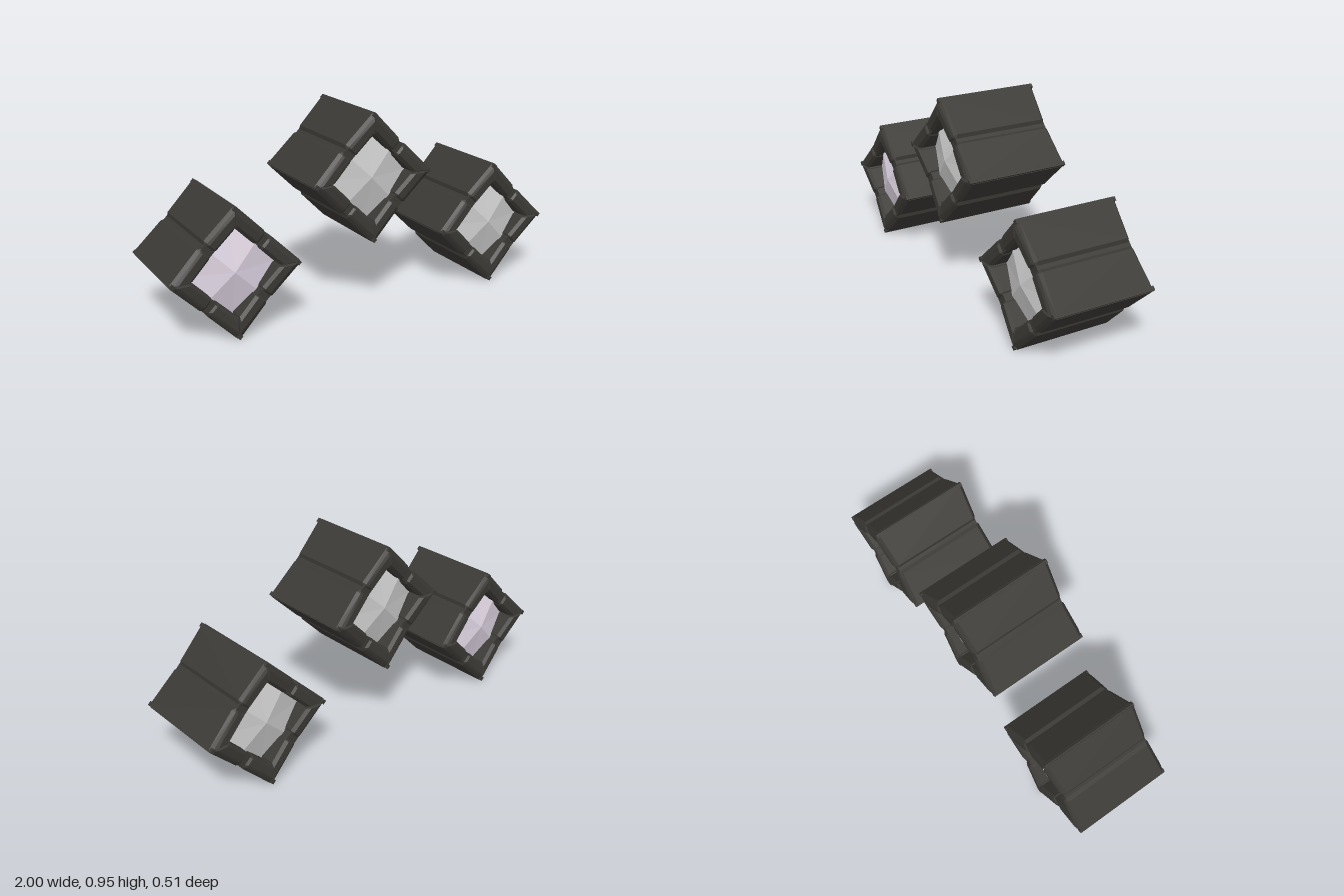
import * as THREE from 'three';
import { ConvexGeometry } from 'three/addons/geometries/ConvexGeometry.js';

const OUTER = 0.222; // centre to outer face of a frame side
const INNER = 0.148; // centre to inner face of a frame side
const BEVEL = 0.014;

// End faces dip towards the middle of each frame side
const endZ = (u) => 0.241 + 0.068 * Math.min(u, 0.215);

// Bevelled, mitred half of one frame side
function blockGeometry(side) {
  const pts = [];
  const add = (u, v, inset) => {
    for (const s of [-1, 1]) pts.push(new THREE.Vector3(side * u, v, s * (endZ(u) - inset)));
  };
  const start = 0.024;
  // outer and inner faces
  add(start, OUTER, 0.02);
  add(OUTER - 0.012, OUTER, 0.02);
  add(start, INNER, BEVEL);
  add(INNER - 0.009, INNER, BEVEL);
  // raised front and back faces
  for (const v of [0.195, INNER + BEVEL]) {
    add(start, v, 0);
    add(v - 0.009, v, 0);
  }
  // shoulder below the outer face, mitre, and the bevelled end at the middle groove
  for (const v of [OUTER - BEVEL, INNER + BEVEL]) {
    add(start, v, 0.006);
    add(v - 0.003, v, 0.008);
    add(0.008, v, BEVEL);
  }
  return new ConvexGeometry(pts);
}

// Square ring that shows at the bottom of the grooves
function coreGeometry() {
  const square = (a, P) => new P([[-a, -a], [a, -a], [a, a], [-a, a]].map(([x, y]) => new THREE.Vector2(x, y)));
  const shape = square(OUTER - 0.013, THREE.Shape);
  shape.holes.push(square(INNER + 0.005, THREE.Path));
  const geo = new THREE.ExtrudeGeometry(shape, { depth: 0.466, bevelEnabled: false });
  return geo.translate(0, 0, -0.233);
}

// Faceted pillow: eight triangles around a raised centre
function paneGeometry() {
  const geo = new THREE.CircleGeometry(0.217, 8);
  const p = geo.attributes.position;
  p.setZ(0, 0.22);
  for (let i = 1; i < p.count; i++) {
    const corner = i % 2 === 1;
    const k = corner ? 1 : Math.SQRT1_2;
    p.setXYZ(i, p.getX(i) * k, p.getY(i) * k, corner ? 0.16 : 0.193);
  }
  const flat = geo.toNonIndexed();
  flat.computeVertexNormals();
  return flat;
}

export function createModel() {
  const model = new THREE.Group();
  const dark = new THREE.MeshStandardMaterial({ color: 0x3b3935, flatShading: true });
  const grey = new THREE.MeshStandardMaterial({ color: 0xcccccc, flatShading: true });
  const mauve = new THREE.MeshStandardMaterial({ color: 0xe0d6e4, flatShading: true });
  const blocks = [blockGeometry(1), blockGeometry(-1)];
  const core = coreGeometry();
  const post = new THREE.BoxGeometry(0.02, 0.02, 0.498).translate(0.209, 0.209, 0);
  const pane = paneGeometry();

  const addMesh = (parent, name, geo, mat) => {
    const mesh = new THREE.Mesh(geo, mat);
    mesh.name = name;
    parent.add(mesh);
    return mesh;
  };

  function lamp(name, x, y, paneMaterial) {
    const group = new THREE.Group();
    group.name = name;
    group.position.set(x, y, 0);

    // frame, standing on one corner
    const frame = new THREE.Group();
    frame.name = 'frame';
    frame.rotation.z = Math.PI / 4;
    group.add(frame);
    addMesh(frame, 'frameCore', core, dark);
    for (let i = 0; i < 4; i++) {
      const turn = i * Math.PI / 2;
      for (const geo of blocks) addMesh(frame, 'frameBlock', geo, dark).rotation.z = turn;
      addMesh(frame, 'cornerPost', post, dark).rotation.z = turn;
    }

    // light panes on both ends
    addMesh(group, 'frontPane', pane, paneMaterial);
    addMesh(group, 'backPane', pane, paneMaterial).rotation.y = Math.PI;
    model.add(group);
  }

  lamp('rightLamp', -0.69, 0.31, mauve);
  lamp('middleLamp', 0, 0.64, grey);
  lamp('leftLamp', 0.69, 0.31, grey);
  return model;
}
